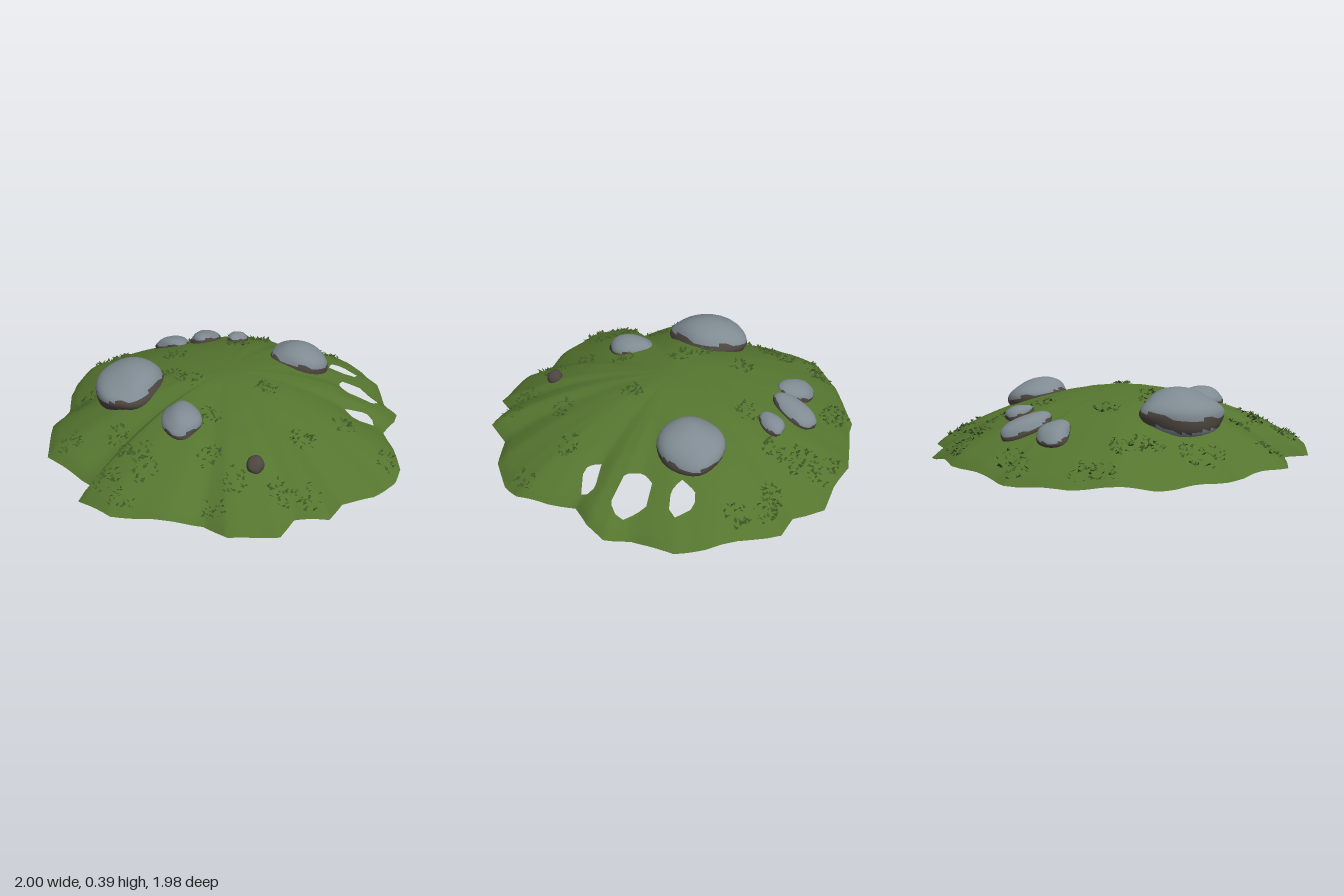
import * as THREE from 'three';
import { mergeVertices } from 'three/addons/utils/BufferGeometryUtils.js';

const mat = (name, color, side = THREE.FrontSide) => {
  const m = new THREE.MeshStandardMaterial({ color, side });
  m.name = name;
  return m;
};

// Ragged rim of the mound as x, z pairs, running anticlockwise seen from above
const RIM = [
  [0.04, -0.99], [-0.17, -0.98], [-0.33, -0.92], [-0.42, -0.85], [-0.53, -0.72], [-0.7, -0.64],
  [-0.9, -0.41], [-0.88, -0.08], [-1, -0.02], [-0.98, 0.2], [-0.83, 0.42], [-0.71, 0.55],
  [-0.69, 0.69], [-0.52, 0.86], [-0.4, 0.84], [-0.29, 0.96], [-0.14, 0.92], [0.02, 0.99],
  [0.2, 0.99], [0.3, 0.95], [0.42, 0.82], [0.5, 0.7], [0.63, 0.68], [0.73, 0.63],
  [0.78, 0.51], [0.93, 0.35], [0.97, 0.2], [1, -0.17], [0.92, -0.27], [0.91, -0.45],
  [0.8, -0.56], [0.7, -0.7], [0.42, -0.87], [0.36, -0.92],
];
const HOLES = [
  [[0.64, 0.2], [0.72, 0.16], [0.79, 0.19], [0.8, 0.33], [0.68, 0.27]],
  [[0.53, 0.36], [0.59, 0.33], [0.69, 0.4], [0.69, 0.54], [0.6, 0.55], [0.5, 0.44]],
  [[0.37, 0.52], [0.48, 0.59], [0.49, 0.67], [0.35, 0.61]],
];

// Nearest point on a polygon's edge
function nearest(poly, x, z) {
  let best = { d: Infinity };
  poly.forEach(([ax, az], i) => {
    const [bx, bz] = poly[(i + 1) % poly.length];
    const dx = bx - ax, dz = bz - az;
    const k = THREE.MathUtils.clamp(((x - ax) * dx + (z - az) * dz) / (dx * dx + dz * dz), 0, 1);
    const px = ax + k * dx, pz = az + k * dz, d = Math.hypot(x - px, z - pz);
    if (d < best.d) best = { d, x: px, z: pz };
  });
  return best;
}

function inside(poly, x, z) {
  let hit = false;
  poly.forEach(([ax, az], i) => {
    const [bx, bz] = poly[(i + 1) % poly.length];
    if ((az > z) !== (bz > z) && x < ((bx - ax) * (z - az)) / (bz - az) + ax) hit = !hit;
  });
  return hit;
}

// 0 at the middle of the mound, 1 at its rim
function rimFraction(x, z) {
  for (let i = 0; i < RIM.length; i++) {
    const [ax, az] = RIM[i], [bx, bz] = RIM[(i + 1) % RIM.length];
    const det = ax * bz - az * bx;
    const a = (x * bz - z * bx) / det, b = (ax * z - az * x) / det;
    if (a >= -1e-6 && b >= -1e-6) return a + b;
  }
  return 0;
}

function height(x, z, t = rimFraction(x, z)) {
  const a = Math.atan2(z, x);
  let y = 0.035 + 0.305 * (1 - t * t);
  y += 0.015 * t ** 4 * (Math.sin(a * 7 + 1) + 0.5 * Math.sin(a * 17));
  y += 0.006 * Math.sin(x * 9 + 1) * Math.sin(z * 8) * (1 - t);
  if (t > 0.96) y -= (t - 0.96) * 0.3;
  // Ground sags around the holes
  for (const h of HOLES) y -= 0.03 * Math.exp(-((nearest(h, x, z).d / 0.05) ** 2)) * (1 - t);
  return Math.max(y, 0.008);
}

function buildMound(material) {
  const rings = 44, sub = 5, n = RIM.length * sub;
  const pos = [], cut = [], index = [];
  for (let r = 0; r <= rings; r++) {
    const t = r / rings;
    for (let s = 0; s < n; s++) {
      const [ax, az] = RIM[Math.floor(s / sub)];
      const [bx, bz] = RIM[(Math.floor(s / sub) + 1) % RIM.length];
      const k = (s % sub) / sub;
      let x = (ax + (bx - ax) * k) * t, z = (az + (bz - az) * k) * t;
      const y = height(x, z, t);
      // Points inside a hole are pulled out to its edge
      const hole = HOLES.find((h) => inside(h, x, z));
      if (hole) ({ x, z } = nearest(hole, x, z));
      cut.push(!!hole);
      pos.push(x, hole ? height(x, z) : y, z);
    }
  }
  const face = (a, b, c) => { if (!(cut[a] && cut[b] && cut[c])) index.push(a, b, c); };
  for (let r = 0; r < rings; r++) {
    for (let s = 0; s < n; s++) {
      const a = r * n + s, b = r * n + ((s + 1) % n);
      if (r > 0) face(a, a + n, b);
      face(b, a + n, b + n);
    }
  }
  let g = new THREE.BufferGeometry();
  g.setAttribute('position', new THREE.Float32BufferAttribute(pos, 3));
  g.setIndex(index);
  g = mergeVertices(g, 1e-5);
  g.computeVertexNormals();
  return new THREE.Mesh(g, material);
}

// Lumpy boulder with a band of dark earth around its waist
function buildRock(name, [x, y, z], [rx, ry, rz], turn, seed, tilt, stone, earth, allEarth) {
  let g = new THREE.SphereGeometry(1, 28, 20);
  g.deleteAttribute('uv');
  g.deleteAttribute('normal');
  g = mergeVertices(g, 1e-4);
  const p = g.attributes.position, v = new THREE.Vector3();
  const face = [[], []];
  for (let i = 0; i < g.index.count; i += 3) {
    const ids = [0, 1, 2].map((k) => g.index.getX(i + k));
    const mid = (axis) => ids.reduce((sum, id) => sum + p['get' + axis](id), 0) / 3;
    const cy = mid('Y') + 0.08 * Math.sin(Math.atan2(mid('Z'), mid('X')) * 5 + seed);
    face[allEarth || (cy > -0.3 && cy < 0.2) ? 1 : 0].push(...ids);
  }
  g.setIndex([...face[0], ...face[1]]);
  g.addGroup(0, face[0].length, 0);
  g.addGroup(face[0].length, face[1].length, 1);
  for (let i = 0; i < p.count; i++) {
    v.fromBufferAttribute(p, i);
    const lump = 1 + 0.06 * Math.sin(v.x * 3 + seed) + 0.05 * Math.sin(v.z * 4 + seed * 2) * v.x
      + 0.03 * Math.sin(v.y * 5 + v.z * 3 + seed);
    p.setXYZ(i, v.x * lump * rx, v.y * lump * ry, v.z * lump * rz);
  }
  g.computeVertexNormals();
  const mesh = new THREE.Mesh(g, [stone, earth]);
  mesh.name = name;
  mesh.position.set(x, y, z);
  // Lean with the slope
  const up = new THREE.Vector3(x * tilt, 1, z * tilt).normalize();
  mesh.quaternion.setFromUnitVectors(new THREE.Vector3(0, 1, 0), up)
    .multiply(new THREE.Quaternion().setFromAxisAngle(new THREE.Vector3(0, 1, 0), turn));
  return mesh;
}

// Patches of tiny leaves scattered over the moss
const TUFTS = [
  [-0.1, -0.92], [0, -0.9], [0.31, -0.84], [0.38, -0.76], [-0.2, -0.68], [-0.28, -0.66], [-0.13, -0.74],
  [-0.55, -0.58], [-0.45, -0.61], [-0.8, -0.33], [-0.65, -0.13], [-0.72, 0], [-0.87, 0.05], [-0.9, 0.2],
  [-0.74, 0.18], [-0.68, 0.08], [-0.48, 0.36], [-0.31, 0.2], [-0.18, -0.25], [-0.18, -0.1], [0, -0.4],
  [0.73, -0.6], [0.64, -0.47], [0.75, -0.5], [0.68, -0.37], [0.6, -0.3], [0.83, -0.2], [0.88, -0.13],
  [0.88, 0.02], [0.2, 0.65], [0.25, 0.9], [-0.07, 0.6], [-0.29, 0.83], [-0.37, 0.73], [-0.64, 0.56],
  [-0.5, 0.54], [0.06, 0.25], [0.37, -0.27],
];

function buildLeaves(material) {
  let state = 7;
  const rnd = () => (state = (state * 16807) % 2147483647) / 2147483647;
  const pos = [];
  for (const [cx, cz] of TUFTS) {
    for (let i = 0; i < 24; i++) {
      const a = rnd() * 6.28, r = 0.065 * Math.sqrt(rnd());
      const x = cx + r * Math.cos(a), z = cz + r * Math.sin(a);
      if (rimFraction(x, z) > 0.97) continue;
      const y = height(x, z), turn = rnd() * 6.28, size = 0.012 + 0.012 * rnd();
      const c = Math.cos(turn) * size, s = Math.sin(turn) * size;
      pos.push(x - s * 0.5, y, z + c * 0.5, x + s * 0.5, y + 0.004, z - c * 0.5,
        x + c, y + 0.006 + 0.014 * rnd(), z + s);
    }
  }
  const g = new THREE.BufferGeometry();
  g.setAttribute('position', new THREE.Float32BufferAttribute(pos, 3));
  g.computeVertexNormals();
  return new THREE.Mesh(g, material);
}

export function createModel() {
  const moss = mat('moss green', 0x55752f, THREE.DoubleSide);
  const leaf = mat('leaf green', 0x3f5824, THREE.DoubleSide);
  const stone = mat('stone grey', 0x7f8a92);
  const earth = mat('dark earth', 0x4d4640);
  const model = new THREE.Group();
  model.name = 'mossyMound';

  const mound = buildMound(moss);
  mound.name = 'mound';
  const leaves = buildLeaves(leaf);
  leaves.name = 'mossLeaves';
  model.add(mound, leaves);

  // name, centre, radii, turn, seed, tilt
  const rocks = [
    ['largeRock', [-0.38, 0.27, -0.35], [0.235, 0.115, 0.18], 0.7, 1, 0.35],
    ['leftRock', [0.5, 0.255, 0.1], [0.18, 0.1, 0.165], -0.5, 2, 0.45],
    ['rightRock', [-0.42, 0.265, 0.1], [0.135, 0.075, 0.1], 1.0, 3, 0.35],
    ['backRockA', [0.2, 0.195, -0.64], [0.08, 0.055, 0.115], 0.1, 4, 0.5],
    ['backRockB', [0.37, 0.205, -0.54], [0.13, 0.06, 0.085], 0.5, 5, 0.6],
    ['backRockC', [0.46, 0.24, -0.36], [0.075, 0.045, 0.06], 0.4, 6, 0.5],
    ['smallRock', [-0.38, 0.205, 0.57], [0.05, 0.04, 0.042], 0.4, 7, 0.5, true],
    ['buriedRock', [0.05, 0.065, 0.78], [0.09, 0.058, 0.08], 0.3, 8, 0.3],
  ];
  for (const [name, at, radii, turn, seed, tilt, allEarth] of rocks) {
    model.add(buildRock(name, at, radii, turn, seed, tilt, stone, earth, allEarth));
  }
  return model;
}
